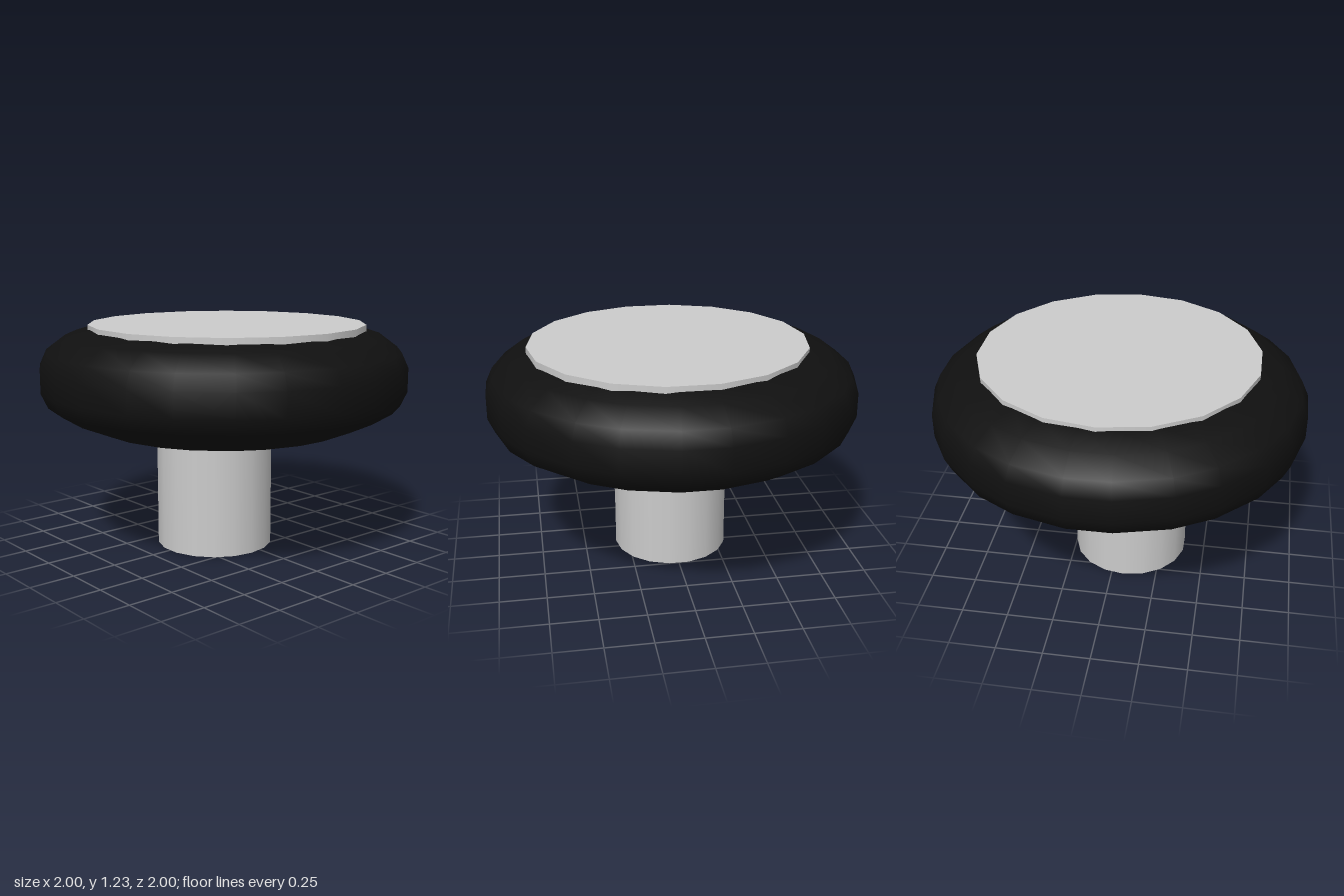
import * as THREE from 'three';

const grey = new THREE.MeshStandardMaterial({ color: 0xcccccc });
const black = new THREE.MeshStandardMaterial({ color: 0x101010 });

// 18-sided cylinder with corners on the x axis
function cylinder(name, radius, bottom, top, x, z) {
  const geometry = new THREE.CylinderGeometry(radius, radius, top - bottom, 18);
  geometry.rotateY(Math.PI / 2);
  const mesh = new THREE.Mesh(geometry, grey);
  mesh.name = name;
  mesh.position.set(x, (top + bottom) / 2, z);
  return mesh;
}

// Rounded, flattened knob with slightly uneven facets around its rim
function knobBody() {
  const profile = [
    [0, 0.58], [0.25, 0.588], [0.48, 0.62], [0.7, 0.667], [0.865, 0.735],
    [0.97, 0.8], [1.007, 0.88], [1.007, 1.01], [0.97, 1.09], [0.865, 1.168],
    [0.72, 1.212], [0.5, 1.22], [0, 1.22],
  ].map(([r, y]) => new THREE.Vector2(r, y));
  const sides = 24;
  const geometry = new THREE.LatheGeometry(profile, sides, Math.PI / sides);
  const position = geometry.attributes.position;
  for (let i = 0; i < position.count; i++) {
    const side = Math.floor(i / profile.length) % sides;
    const angle = (side + 0.5) * (Math.PI * 2 / sides) + (side % 2 ? 0.014 : -0.014);
    const r = profile[i % profile.length].x;
    position.setX(i, r * Math.sin(angle));
    position.setZ(i, r * Math.cos(angle));
  }
  const mesh = new THREE.Mesh(geometry, black);
  mesh.name = 'knobBody';
  return mesh;
}

export function createModel() {
  const model = new THREE.Group();
  model.name = 'knob';
  model.add(
    cylinder('stem', 0.32, 0, 0.75, 0, 0.067),
    knobBody(),
    cylinder('topCap', 0.757, 1.12, 1.23, 0.022, -0.005),
  );
  return model;
}
